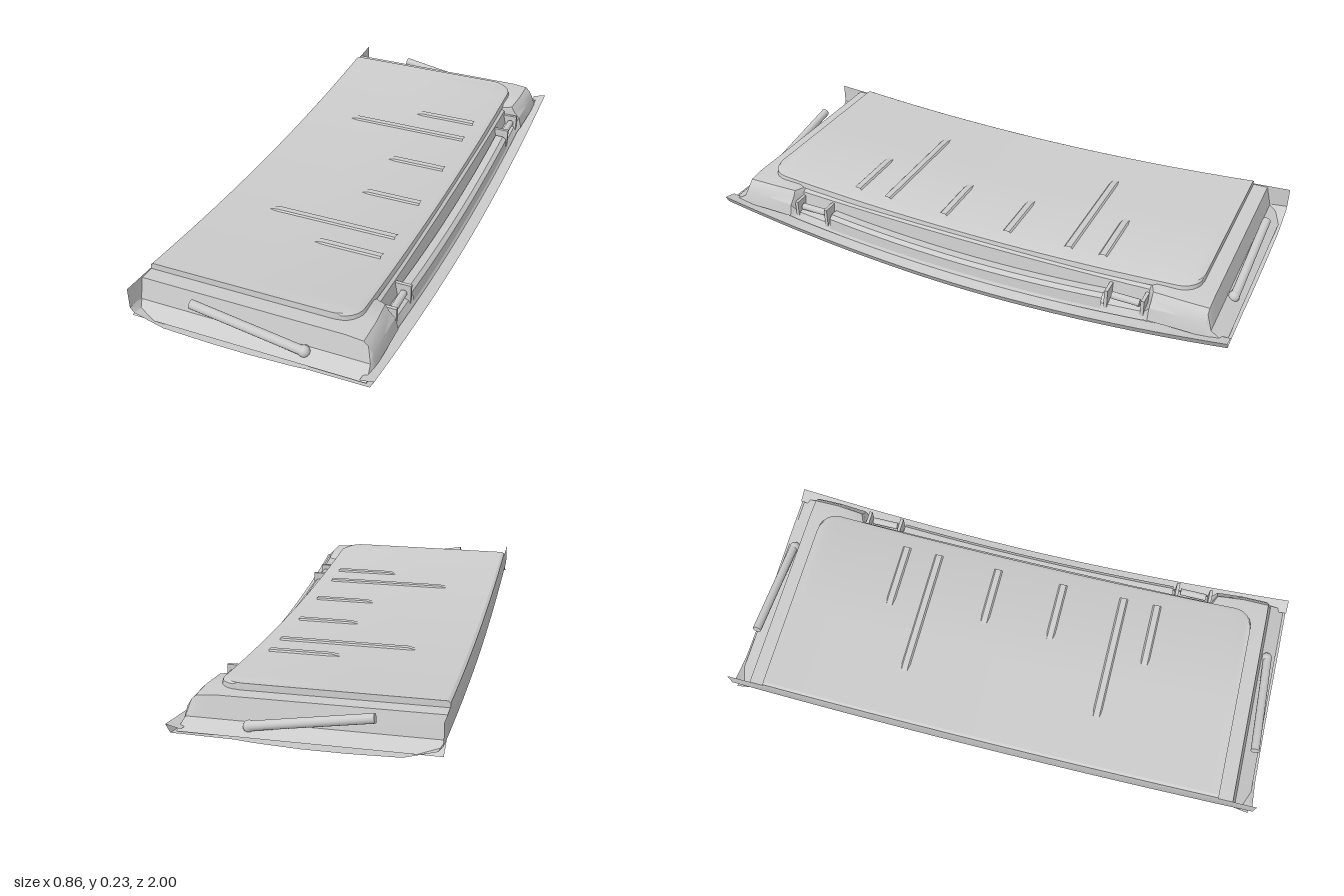
import * as THREE from 'three';
import { toCreasedNormals } from 'three/addons/utils/BufferGeometryUtils.js';

const mat = new THREE.MeshStandardMaterial({ color: 0xcccccc, side: THREE.DoubleSide });
const lerp = THREE.MathUtils.lerp;

function add(parent, name, geometry) {
  const mesh = new THREE.Mesh(geometry, mat);
  mesh.name = name;
  parent.add(mesh);
  return mesh;
}

// Surface through a list of sections, each a list of [x, y, z]
function loft(sections, crease = 0.5) {
  const n = sections[0].length, index = [];
  for (let i = 0; i < sections.length - 1; i++) {
    for (let j = 0; j < n - 1; j++) {
      const a = i * n + j, b = a + n;
      index.push(a, b, a + 1, b, b + 1, a + 1);
    }
  }
  const g = new THREE.BufferGeometry();
  g.setAttribute('position', new THREE.Float32BufferAttribute(sections.flat(2), 3));
  g.setIndex(index);
  return toCreasedNormals(g, crease);
}

const panelY = z => 0.197 + 0.037 * (z / 0.86) ** 2;

// Rod with a flat end between two points
function rod(parent, name, a, b, r) {
  const p = new THREE.Vector3(...a), q = new THREE.Vector3(...b);
  const d = q.clone().sub(p);
  const m = add(parent, name, new THREE.CylinderGeometry(r, r, d.length(), 14));
  m.position.copy(p).add(q).multiplyScalar(0.5);
  m.quaternion.setFromUnitVectors(new THREE.Vector3(0, 1, 0), d.normalize());
}

export function createModel() {
  const root = new THREE.Group();
  root.name = 'tailgate';

  // Outer skin: profile across x at the middle, and at both ends
  const mid = [[-0.43, 0.19], [-0.43, 0.09], [-0.415, 0.045], [-0.28, 0.018], [-0.14, 0.045],
    [0, 0.055], [0.15, 0.06], [0.21, 0.03], [0.415, 0.022], [0.43, 0.05], [0.38, 0.058]];
  const end = [[-0.43, 0.225], [-0.43, 0.15], [-0.415, 0.132], [-0.31, 0.102], [-0.14, 0.097],
    [0, 0.097], [0.15, 0.103], [0.21, 0.108], [0.415, 0.11], [0.43, 0.138], [0.38, 0.125]];
  const skin = [];
  for (let i = 0; i <= 40; i++) {
    const z = -1 + i / 20, t = Math.abs(z) ** 1.9;
    skin.push(mid.map(([x, y], j) => [lerp(x, end[j][0], t), lerp(y, end[j][1], t), z]));
  }
  add(root, 'outerSkin', loft(skin, 0.6));

  // Inner frame: recessed along the +x edge, with a sloping ledge at both ends
  const recess = [[0.39, 0.058], [0.375, 0.085], [0.335, 0.1], [0.325, 0.17], [0.305, 0.182], [-0.43, 0.182]];
  const full = [[0.4, 0.115], [0.39, 0.165], [0.375, 0.19], [0.36, 0.205], [0.3, 0.211], [-0.43, 0.213]];
  const shoulder = [[0.39, 0.1], [0.375, 0.125], [0.335, 0.135], [0.325, 0.185], [0.305, 0.197], [-0.43, 0.197]];
  const blend = (a, b, t, z) => a.map(([x, y], i) => [lerp(x, b[i][0], t), lerp(y, b[i][1], t), z]);
  const half = s => {
    const out = [];
    for (let i = 0; i <= 10; i++) out.push(blend(recess, shoulder, (i / 10) ** 2, s * 0.07 * i));
    out.push(blend(shoulder, full, 0.75, s * 0.72));
    out.push(blend(full, full, 0, s * 0.82), blend(full, full, 0, s * 0.915));
    out.push(full.map(([x, y]) => [x, Math.min(y, 0.14), s * 0.935]));
    out.push(full.map(([x]) => [x, 0.112, s * 0.99]));
    return out;
  };
  for (const s of [1, -1]) add(root, 'innerFrame', loft(half(s)));

  // Raised load panel with rounded +x corners
  const panel = [], r = 0.07, steps = [];
  for (let i = 0; i <= 6; i++) steps.push(-0.86 + r * (1 - Math.cos(i * Math.PI / 12)));
  for (let i = 1; i < 28; i++) steps.push(-0.79 + 1.58 * i / 28);
  for (let i = 6; i >= 0; i--) steps.push(0.86 - r * (1 - Math.cos(i * Math.PI / 12)));
  const section = (z, drop) => {
    const k = Math.max(0, Math.abs(z) - 0.79) / r;
    const x = 0.315 - r * (1 - Math.sqrt(Math.max(0, 1 - k * k))), y = panelY(z) - drop;
    return [[-0.43, y - 0.03, z], [-0.43, y - 0.006, z], [-0.42, y, z], [-0.1, y, z],
      [x - 0.02, y, z], [x - 0.005, y - 0.006, z], [x, y - 0.025, z]];
  };
  panel.push(section(-0.862, 0.026), ...steps.map(z => section(z, 0)), section(0.862, 0.026));
  add(root, 'loadPanel', loft(panel));

  // Low ribs across the load panel
  for (const [z, x0] of [[0.37, -0.24], [0.5, 0], [0.13, 0.02]]) {
    for (const s of [1, -1]) {
      const zz = s * z;
      const rib = [-1, -0.6, 0.6, 1].map((k, i) => {
        const y = panelY(zz + k * 0.018) + (i === 1 || i === 2 ? 0.006 : -0.002);
        return [[x0, y - 0.006, zz + k * 0.018], [x0 + 0.03, y, zz + k * 0.018], [0.25, y, zz + k * 0.018]];
      });
      add(root, 'panelRib', loft(rib));
    }
  }

  // Curved bar in the recess along the +x edge
  const bar = [];
  for (let i = 0; i <= 20; i++) {
    const z = -0.55 + 0.055 * i, k = (z / 0.55) ** 2, y = 0.105 + 0.03 * k;
    bar.push([[0.385, y - 0.045, z], [0.38, y, z], [0.365, y + 0.012, z], [0.335, y + 0.012, z], [0.325, y - 0.03, z]]);
  }
  add(root, 'edgeBar', loft(bar));

  for (const s of [1, -1]) {
    // Hinge bracket and pin
    for (const z of [0.565, 0.695]) {
      add(root, 'hingeCheek', new THREE.BoxGeometry(0.065, 0.075, 0.012)).position.set(0.35, 0.135, s * z);
    }
    rod(root, 'hingePin', [0.36, 0.145, s * 0.58], [0.36, 0.145, s * 0.68], 0.013);

    // Support strut on the end ledge, with its ball joint
    rod(root, 'supportStrut', [-0.22, 0.203, s * 0.962], [0.17, 0.138, s * 0.958], 0.016);
    add(root, 'strutBall', new THREE.SphereGeometry(0.02, 14, 10)).position.set(0.175, 0.135, s * 0.955);
    rod(root, 'strutStud', [0.175, 0.135, s * 0.955], [0.175, 0.135, s * 0.915], 0.009);
  }

  // Handle trim on the underside
  const trim = [];
  for (let i = 0; i <= 12; i++) {
    const z = -0.3 + 0.05 * i, y = 0.002 + 0.02 * (z / 0.3) ** 2;
    trim.push([[-0.28, y + 0.018, z], [-0.27, y, z], [-0.14, y, z], [-0.135, y + 0.045, z]]);
  }
  add(root, 'handleTrim', loft(trim));

  return root;
}
